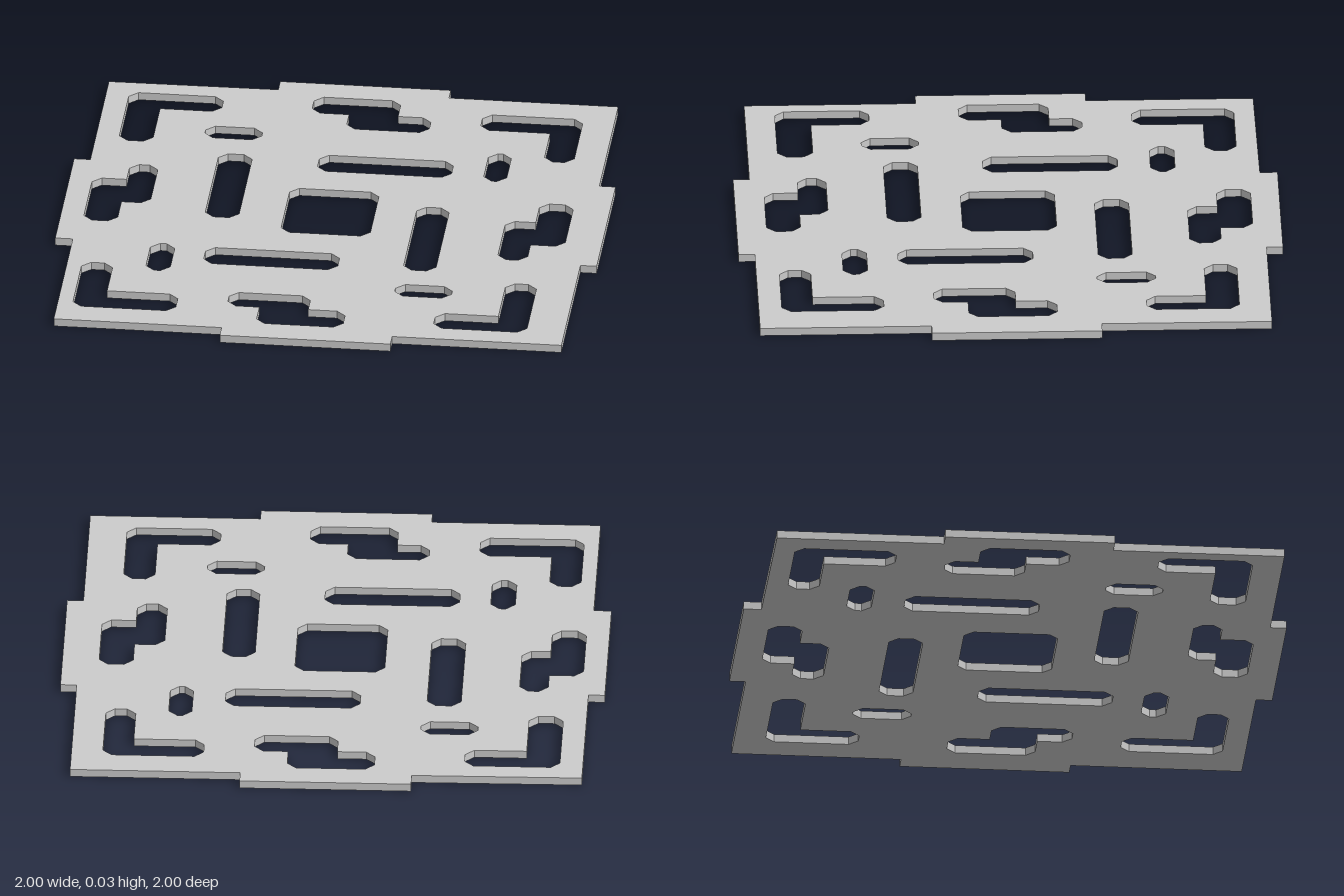
import * as THREE from 'three';

const THICKNESS = 0.03;
const CHAMFER = 0.033;

// Points are [x, z] seen from above; the shape plane uses y = -z.
const toPlane = (pts) => pts.map(([x, z]) => new THREE.Vector2(x, -z));

const rect = (x0, x1, z0, z1) => [[x0, z0], [x1, z0], [x1, z1], [x0, z1]];

// L-shaped slot: outer corner (ox, oz), arm ends (ex, ez), inner corner (ix, iz)
const ell = (ox, oz, ex, ez, ix, iz) =>
  [[ox, oz], [ex, oz], [ex, iz], [ix, iz], [ix, ez], [ox, ez]];

// Hole with chamfered outward corners and sharp inward ones
function chamferedHole(pts) {
  const p = toPlane(pts);
  const turn = Math.sign(THREE.ShapeUtils.area(p));
  return new THREE.Path(p.flatMap((b, i) => {
    const a = p[(i + p.length - 1) % p.length];
    const c = p[(i + 1) % p.length];
    const u = b.clone().sub(a).normalize();
    const v = c.clone().sub(b).normalize();
    if (u.cross(v) * turn <= 0) return [b];
    return [
      b.clone().addScaledVector(u, -CHAMFER),
      b.clone().addScaledVector(v, CHAMFER),
    ];
  }));
}

export function createModel() {
  const group = new THREE.Group();
  group.name = 'perforatedPanel';

  // Square outline with a shallow tab on every side, counter-clockwise from above
  const outline = new THREE.Shape(toPlane([
    [-0.94, -0.93], [-0.94, -0.315], [-1, -0.315], [-1, 0.31], [-0.935, 0.31],
    [-0.935, 0.94], [-0.315, 0.94], [-0.315, 1], [0.315, 1], [0.315, 0.94],
    [0.94, 0.94], [0.94, 0.31], [1, 0.31], [1, -0.315], [0.94, -0.315],
    [0.94, -0.94], [0.315, -0.94], [0.315, -1], [-0.315, -1], [-0.315, -0.935],
  ]));

  const holes = [
    // centre window
    rect(-0.185, 0.145, -0.175, 0.17),
    // long slots whirling round the centre
    rect(-0.475, -0.35, -0.415, 0.08),
    rect(-0.105, 0.39, -0.445, -0.32),
    rect(0.295, 0.415, -0.08, 0.415),
    rect(-0.44, 0.055, 0.32, 0.445),
    // short slots
    rect(-0.545, -0.335, -0.625, -0.535),
    rect(0.51, 0.595, -0.525, -0.31),
    rect(0.285, 0.495, 0.53, 0.62),
    rect(-0.645, -0.555, 0.31, 0.52),
    // corner L slots
    ell(-0.855, -0.855, -0.505, -0.48, -0.73, -0.74),
    ell(0.825, -0.825, 0.455, -0.485, 0.715, -0.705),
    ell(0.80, 0.855, 0.455, 0.48, 0.685, 0.74),
    ell(-0.88, 0.83, -0.50, 0.485, -0.765, 0.70),
    // stepped slots beside each tab
    [[-0.175, -0.895], [0.145, -0.895], [0.145, -0.775], [0.27, -0.775],
      [0.27, -0.66], [-0.035, -0.66], [-0.035, -0.77], [-0.175, -0.77]],
    [[0.74, -0.155], [0.865, -0.155], [0.865, 0.17], [0.74, 0.17],
      [0.74, 0.295], [0.63, 0.295], [0.63, -0.005], [0.74, -0.005]],
    [[-0.315, 0.66], [-0.015, 0.66], [-0.015, 0.765], [0.125, 0.765],
      [0.125, 0.89], [-0.195, 0.89], [-0.195, 0.765], [-0.315, 0.765]],
    [[-0.79, -0.295], [-0.685, -0.295], [-0.685, 0], [-0.79, 0],
      [-0.79, 0.155], [-0.915, 0.155], [-0.915, -0.175], [-0.79, -0.175]],
  ];
  outline.holes = holes.map(chamferedHole);

  // Flat plate lying on the ground
  const geometry = new THREE.ExtrudeGeometry(outline, { depth: THICKNESS, bevelEnabled: false });
  geometry.rotateX(-Math.PI / 2);
  const plate = new THREE.Mesh(
    geometry,
    new THREE.MeshStandardMaterial({ color: 0xcccccc, flatShading: true }),
  );
  plate.name = 'plate';
  group.add(plate);
  return group;
}
